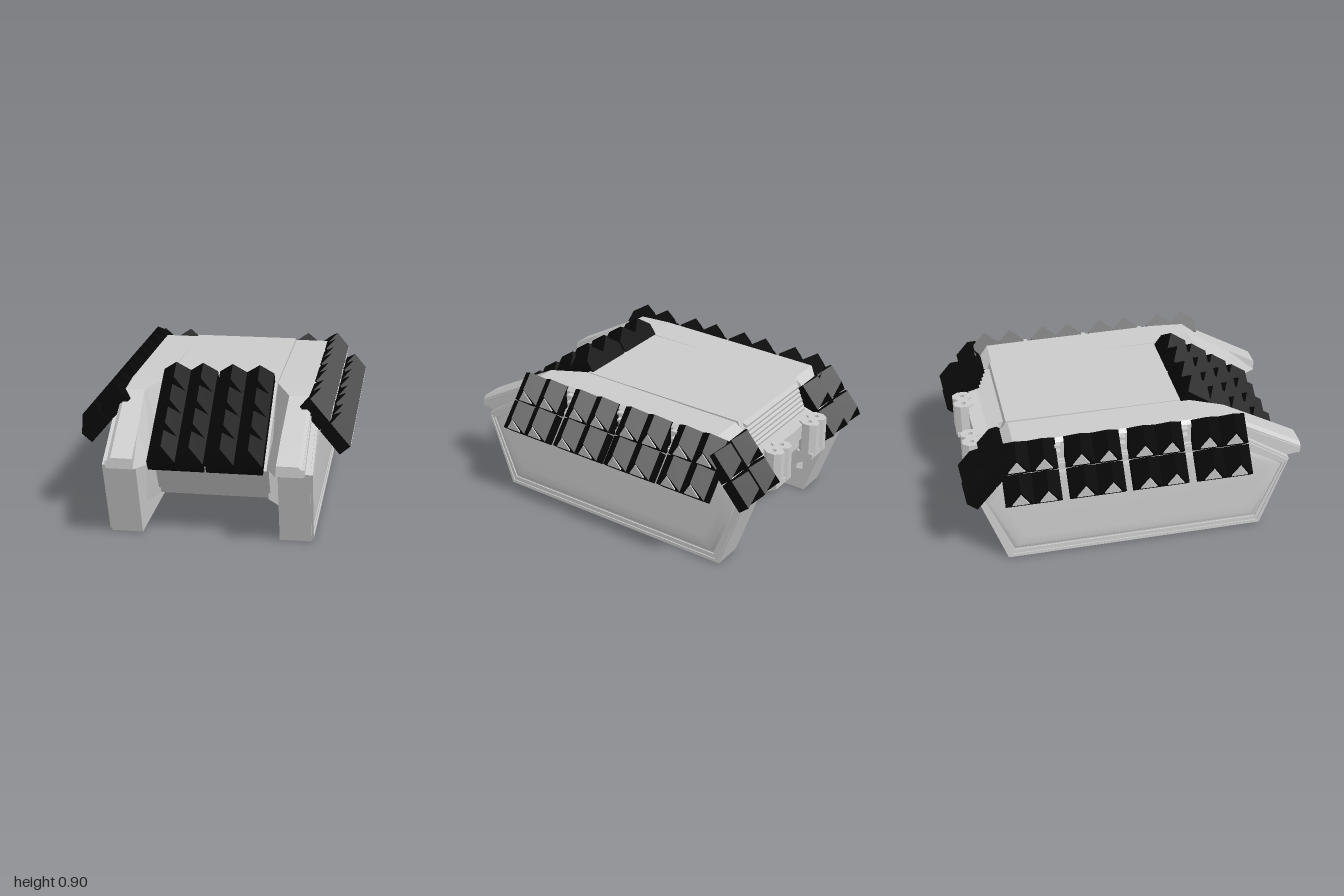
import * as THREE from 'three';
import { mergeVertices } from 'three/addons/utils/BufferGeometryUtils.js';

const grey = new THREE.MeshStandardMaterial({ color: 0xcccccc, flatShading: true });
const smoothGrey = new THREE.MeshStandardMaterial({ color: 0xcccccc });
const black = new THREE.MeshStandardMaterial({ color: 0x080808, flatShading: true });

const shapeOf = pts => new THREE.Shape(pts.map(p => new THREE.Vector2(p[0], p[1])));

// Side profile in (z, y), extruded across x from x0 to x1
function sideExtrude(pts, x0, x1, hole) {
  const shape = shapeOf(pts);
  if (hole) shape.holes.push(shapeOf(hole));
  const g = new THREE.ExtrudeGeometry(shape, { depth: x1 - x0, bevelEnabled: false });
  return g.rotateY(-Math.PI / 2).translate(x1, 0, 0);
}

// Skin through cross-sections (each a loop of [x, y, z]) with closed ends
function loft(sections) {
  const n = sections[0].length, pos = [];
  const tri = (a, b, c) => pos.push(...a, ...b, ...c);
  for (let i = 0; i + 1 < sections.length; i++) {
    const a = sections[i], b = sections[i + 1];
    for (let j = 0; j < n; j++) {
      const k = (j + 1) % n;
      tri(a[j], a[k], b[k]);
      tri(a[j], b[k], b[j]);
    }
  }
  const s = sections[0], e = sections[sections.length - 1];
  for (let j = 1; j + 1 < n; j++) {
    tri(s[0], s[j + 1], s[j]);
    tri(e[0], e[j], e[j + 1]);
  }
  const g = new THREE.BufferGeometry();
  g.setAttribute('position', new THREE.Float32BufferAttribute(pos, 3));
  g.computeVertexNormals();
  return g;
}

// Mirror across x and restore the winding
function mirrored(src) {
  const g = src.clone(), p = g.attributes.position;
  for (let i = 0; i < p.count; i += 3) {
    const a = [p.getX(i), p.getY(i), p.getZ(i)];
    p.setXYZ(i, -p.getX(i + 2), p.getY(i + 2), p.getZ(i + 2));
    p.setX(i + 1, -p.getX(i + 1));
    p.setXYZ(i + 2, -a[0], a[1], a[2]);
  }
  g.computeVertexNormals();
  return g;
}

// Shared vertices give smooth normals
function smoothed(g) {
  g.deleteAttribute('normal');
  const m = mergeVertices(g, 1e-4);
  m.computeVertexNormals();
  return m;
}

// Gabled armour block: straight head, ridge cut back to a sloping hip at the foot
const W = 0.158, SHOULDER = 0.075, RIDGE = 0.145, LEN = 0.17;
function gabled(pts, z0, z1) {
  const g = new THREE.ExtrudeGeometry(shapeOf(pts), { depth: z1 - z0, bevelEnabled: false });
  g.translate(0, 0, z0);
  const p = g.attributes.position;
  for (let i = 0; i < p.count; i++) {
    const rise = Math.max(0, (p.getY(i) - SHOULDER) / (RIDGE - SHOULDER));
    p.setZ(i, p.getZ(i) * (1 - 0.35 * rise));
  }
  g.computeVertexNormals();
  return g;
}
const blockGeo = gabled([[-W / 2, 0], [W / 2, 0], [W / 2, SHOULDER], [0, RIDGE], [-W / 2, SHOULDER]], 0, LEN);
const hipGeo = gabled([[-W * 0.3, 0.08], [W * 0.3, 0.08], [0, 0.137]], LEN - 0.004, LEN + 0.003);

// Column of blocks running down a slope that faces horizontally along "out"
function blockColumn(name, start, out, angle, count, step, greyHips) {
  const up = new THREE.Vector3(0, 1, 0), cos = Math.cos(angle), sin = Math.sin(angle);
  const d = out.clone().multiplyScalar(cos).addScaledVector(up, -sin);
  const n = out.clone().multiplyScalar(sin).addScaledVector(up, cos);
  const col = new THREE.Group();
  col.name = name;
  const put = (part, geo, mat, z) => {
    const m = new THREE.Mesh(geo, mat);
    m.name = part;
    m.position.z = z;
    col.add(m);
  };
  for (let i = 0; i < count; i++) {
    put('armourBlock', blockGeo, black, i * step);
    if (greyHips) put('blockHip', hipGeo, grey, i * step);
  }
  col.quaternion.setFromRotationMatrix(new THREE.Matrix4().makeBasis(n.clone().cross(d), n, d));
  col.position.copy(start);
  return col;
}

export function createModel() {
  const model = new THREE.Group();
  const add = (name, g, mat = grey) => {
    const m = new THREE.Mesh(g, mat);
    m.name = name;
    model.add(m);
    return m;
  };
  const pair = (name, g) => {
    add('left' + name, g);
    add('right' + name, mirrored(g));
  };

  // Central hull with sloped nose, belly and stepped tail
  add('hull', sideExtrude([[0.34, 0.787], [0.84, 0.43], [0.74, 0.41], [0.62, 0.19], [-0.73, 0.19],
    [-0.84, 0.45], [-0.84, 0.6], [-0.77, 0.62], [-0.7, 0.787]], -0.32, 0.32));

  // Belly corners joining the hull to the track housings
  const corner = z => [[0.31, 0.19, z], [0.4, 0.135, z], [0.4, 0.47, z], [0.31, 0.47, z]];
  pair('BellyCorner', loft([corner(-0.74), corner(0.64)]));

  // Track housings: core, two stepped rims and a smooth pillowed panel
  const track = [[0.765, 0], [0.92, 0.45], [0.62, 0.65], [-0.78, 0.65], [-0.915, 0.46], [-0.755, 0]];
  const inset = (kz, ky) => track.map(([z, y]) => [z * kz, 0.33 + (y - 0.33) * ky]);
  pair('TrackHousing', sideExtrude(track, 0.39, 0.567));
  pair('TrackRim', sideExtrude(inset(0.99, 0.97), 0.56, 0.58, inset(0.975, 0.91)));
  pair('InnerRim', sideExtrude(inset(0.975, 0.91), 0.56, 0.574, inset(0.955, 0.83)));
  const panel = loft([[0.955, 0.83, 0.562], [0.945, 0.8, 0.569], [0.92, 0.72, 0.576], [0.85, 0.55, 0.579]]
    .map(([kz, ky, x]) => inset(kz, ky).reverse().map(([z, y]) => [x, y, z])));
  const rightPanel = mirrored(panel);
  add('leftTrackPanel', smoothed(panel), smoothGrey);
  add('rightTrackPanel', smoothed(rightPanel), smoothGrey);

  // Sponsons above the tracks, tapering into sloped front fenders
  // [z, bottom, top, inner bottom x, inner top x, outer x]
  const sponson = [[-0.74, 0.45, 0.74, 0.3, 0.325, 0.535], [-0.69, 0.45, 0.78, 0.3, 0.325, 0.545],
    [0.35, 0.45, 0.787, 0.3, 0.325, 0.545], [0.55, 0.45, 0.778, 0.3, 0.41, 0.54],
    [0.83, 0.44, 0.617, 0.32, 0.395, 0.535], [1, 0.46, 0.52, 0.386, 0.39, 0.53]];
  pair('Sponson', loft(sponson.map(([z, b, t, ib, it, o]) =>
    [[ib, b, z], [o, b, z], [o, t - 0.02, z], [o - 0.02, t, z], [it, t, z]])));
  // Thin lip along the fender edge
  pair('FenderLip', loft([[0.62, 0.66, 0.7], [0.99, 0.46, 0.5]].map(([z, b, t]) =>
    [[0.4, b, z], [0.543, b, z], [0.543, t, z], [0.4, t, z]])));

  // Engine louvres on the tail slope
  for (let i = 0; i < 6; i++) {
    const slat = add('louvre', new THREE.BoxGeometry(0.57, 0.016, 0.05));
    slat.position.set(0, 0.755 - i * 0.025, -0.715 - i * 0.0095);
    slat.rotation.x = -0.25;
  }
  // Bowed tail shelf
  const shelf = shapeOf([[-0.29, 0.7], [0.29, 0.7], [0.29, 0.835]]);
  shelf.quadraticCurveTo(0, 0.905, -0.29, 0.835);
  add('tailShelf', new THREE.ExtrudeGeometry(shelf, { depth: 0.09, bevelEnabled: false, curveSegments: 10 })
    .rotateX(-Math.PI / 2).translate(0, 0.525, 0));

  // Twin octagonal exhaust pipes with bored tops and slanted feet
  const ring = (rx, ry, n) => Array.from({ length: n }, (_, i) => {
    const a = (i + 0.5) * 2 * Math.PI / n;
    return [rx * Math.cos(a), ry * Math.sin(a)];
  });
  const octagon = shapeOf(ring(0.046, 0.062, 8));
  octagon.holes.push(shapeOf(ring(0.014, 0.014, 8)));
  const pipe = new THREE.ExtrudeGeometry(octagon, { depth: 0.24, bevelEnabled: false }).rotateX(-Math.PI / 2);
  const pp = pipe.attributes.position;
  for (let i = 0; i < pp.count; i++) if (pp.getY(i) < 0.01) pp.setY(i, -pp.getZ(i) * 0.6);
  pipe.computeVertexNormals();
  for (const x of [-0.243, -0.163, 0.155, 0.235]) add('exhaustPipe', pipe).position.set(x, 0.385, -0.89);
  // Solid wedge closing each pair of pipes against the tail
  pair('ExhaustFoot', sideExtrude([[-0.94, 0.41], [-0.94, 0.44], [-0.8, 0.44], [-0.8, 0.326]].reverse(),
    0.12, 0.278));

  // Side mounting pins between the flank blocks
  for (const s of [-1, 1])
    for (const z of [0.28, -0.08, -0.45])
      for (const y of [0.71, 0.755])
        add('mountingPin', new THREE.BoxGeometry(0.06, 0.014, 0.035)).position.set(s * 0.55, y, z);

  // Armour blocks on the nose, flanks and rear corners
  const V = (x, y, z) => new THREE.Vector3(x, y, z);
  for (const x of [-0.255, -0.1, 0.07, 0.225])
    model.add(blockColumn('noseArmour', V(x, 0.786, 0.317), V(0, 0, 1), 0.61, 4, 0.162, false));
  for (const s of [-1, 1]) {
    for (const c of [0.48, 0.108, -0.253, -0.615])
      for (const o of [-0.077, 0.077])
        model.add(blockColumn('flankArmour', V(s * 0.478, 0.741, c + o), V(s, 0, 0), 0.865, 2, 0.178, true));
    for (const x of [0.39, 0.56])
      model.add(blockColumn('rearArmour', V(s * x, 0.705, -0.695), V(0, 0, -1), 0.865, 2, 0.178, false));
  }
  return model;
}
